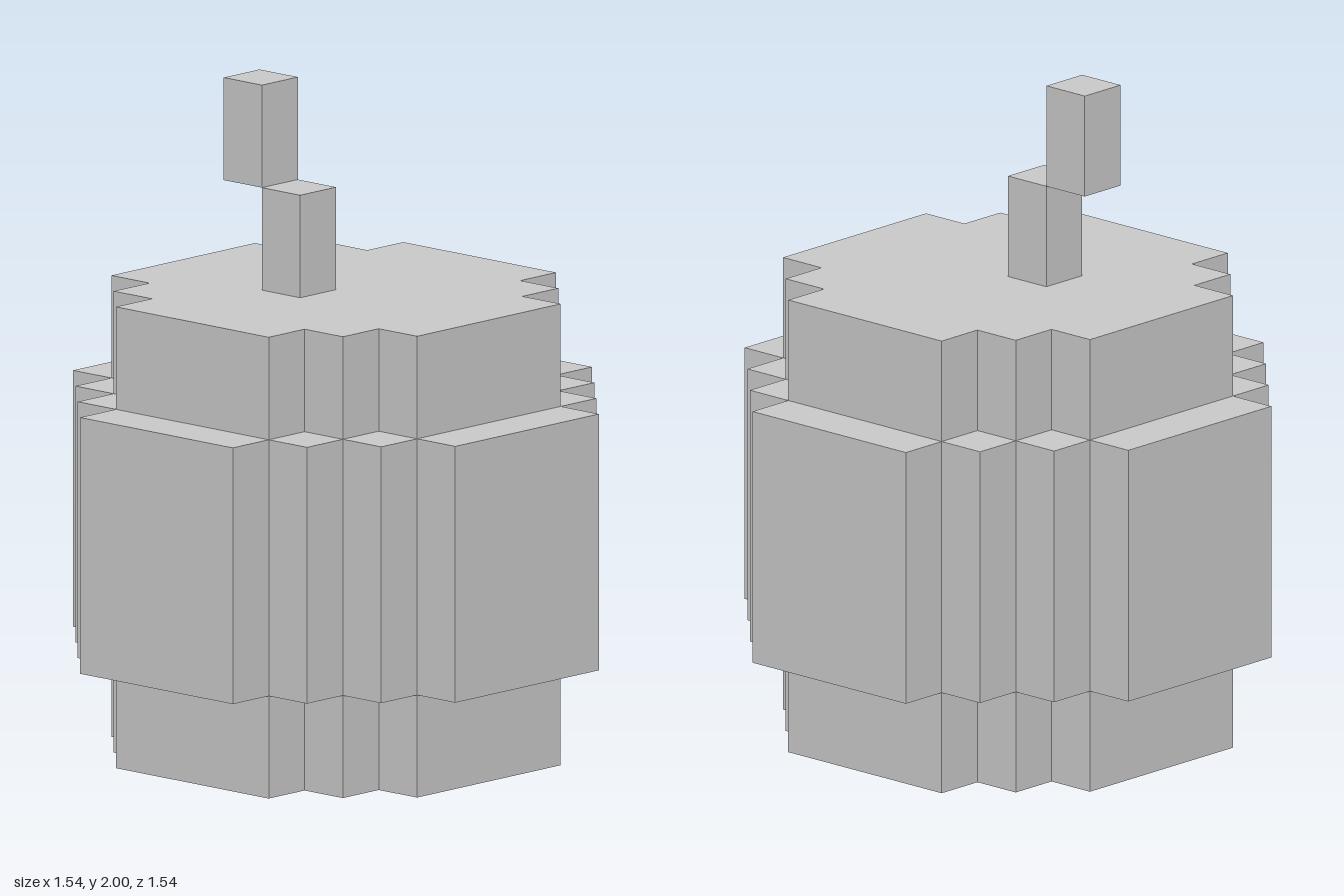
import * as THREE from 'three';

const U = 2 / 13; // edge of one block

// Round outline made of block steps: `reach` is the half width, each step moves one block
function steppedShape(reach) {
  const quarter = [];
  for (let x = reach, y = 2; x >= 2; x--, y++) {
    quarter.push([x, y]);
    if (x > 2) quarter.push([x - 1, y]);
  }
  const points = [];
  for (let q = 0; q < 4; q++) {
    for (const [x, y] of quarter) {
      const p = new THREE.Vector2(x * U, y * U);
      for (let i = 0; i < q; i++) p.set(-p.y, p.x);
      points.push(p);
    }
  }
  return new THREE.Shape(points);
}

export function createModel() {
  const model = new THREE.Group();
  model.name = 'blockFruit';
  const material = new THREE.MeshStandardMaterial({ color: 0xcccccc, flatShading: true });

  const add = (name, geometry) => {
    const mesh = new THREE.Mesh(geometry, material);
    mesh.name = name;
    model.add(mesh);
    return mesh;
  };

  // Body: three stacked layers, the middle one a block wider
  const layers = [
    ['lowerBody', 4, 0, 2],
    ['middleBody', 5, 2, 7],
    ['upperBody', 4, 7, 9],
  ];
  for (const [name, reach, bottom, top] of layers) {
    const geometry = new THREE.ExtrudeGeometry(steppedShape(reach), {
      depth: (top - bottom) * U,
      bevelEnabled: false,
    });
    geometry.rotateX(-Math.PI / 2);
    add(name, geometry).position.y = bottom * U;
  }

  // Stem: two upright blocks stepping sideways, meeting at an edge
  ['lowerStem', 'upperStem'].forEach((name, i) => {
    const stem = add(name, new THREE.BoxGeometry(U, 2 * U, U));
    stem.position.set(-(i + 0.5) * U, (10 + 2 * i) * U, 0.5 * U);
  });

  return model;
}
